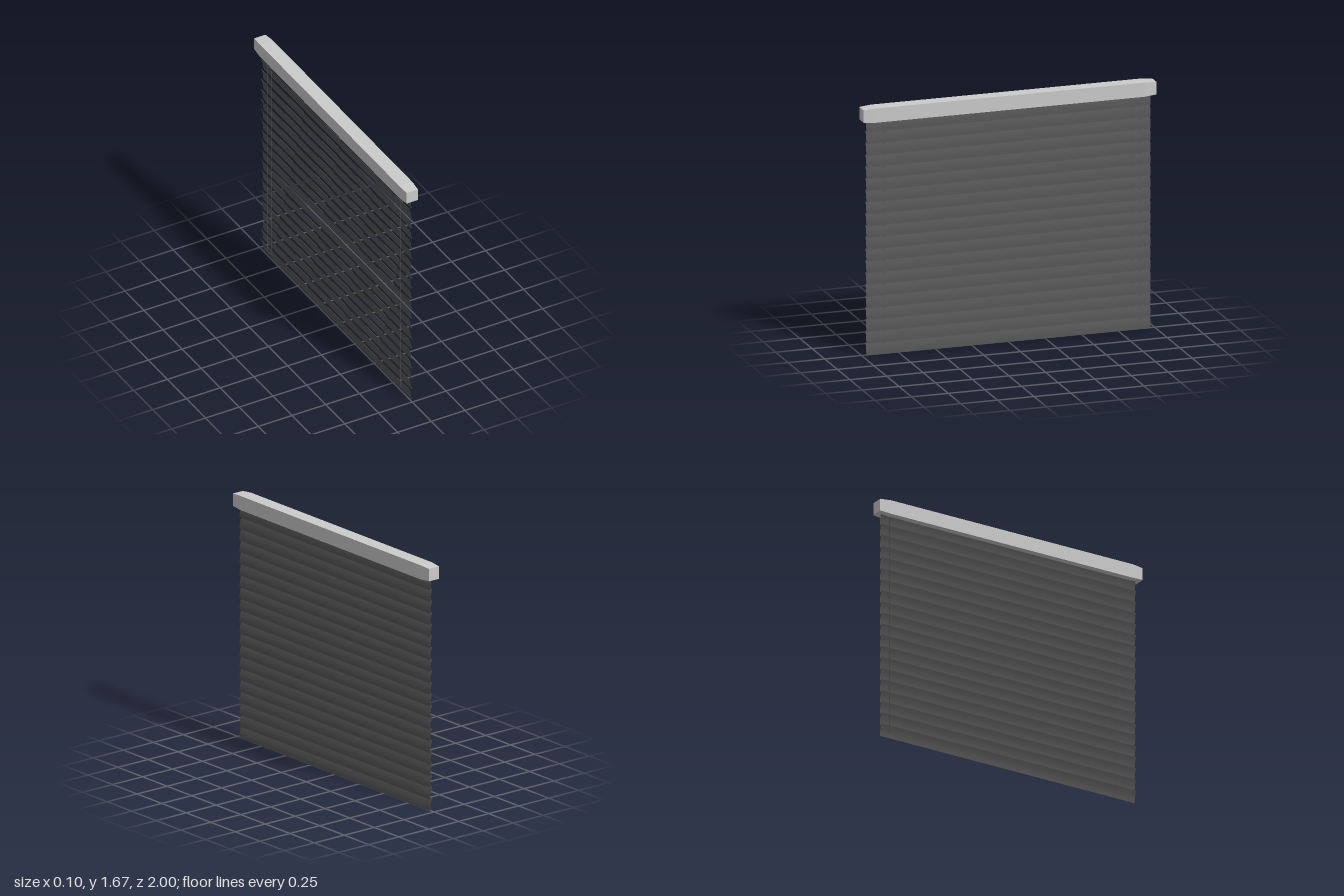
import * as THREE from 'three';

const SLATS = 20, PITCH = 0.079, SLAT_HEIGHT = 0.083, HALF_LENGTH = 0.97;

// Solid curved strip: profile leans from back (top) to front (bottom), bulging towards +x
function slatGeometry() {
  const steps = 8, thickness = 0.0012, front = [], back = [];
  for (let i = 0; i <= steps; i++) {
    const t = i / steps;
    const x = 0.011 - 0.018 * t + 0.004 * Math.sin(Math.PI * t);
    front.push(new THREE.Vector2(x, SLAT_HEIGHT * t));
    back.unshift(new THREE.Vector2(x - thickness, SLAT_HEIGHT * t));
  }
  const geometry = new THREE.ExtrudeGeometry(new THREE.Shape([...front, ...back]), {
    depth: 2 * HALF_LENGTH, bevelEnabled: false,
  });
  return geometry.translate(0, 0, -HALF_LENGTH);
}

// Long box whose two ends narrow slightly
function railGeometry() {
  const box = new THREE.BoxGeometry(0.096, 0.096, 2, 1, 1, 4);
  const p = box.attributes.position;
  for (let i = 0; i < p.count; i++) {
    const z = p.getZ(i);
    if (Math.abs(z) > 0.9) {
      p.setX(i, p.getX(i) * 0.87);
      p.setY(i, p.getY(i) * 0.87);
    } else {
      p.setZ(i, z * 1.84);
    }
  }
  const geometry = box.toNonIndexed();
  geometry.computeVertexNormals();
  return geometry;
}

export function createModel() {
  const model = new THREE.Group();
  model.name = 'windowBlind';
  const grey = new THREE.MeshStandardMaterial({ color: 0xcccccc });
  const dark = new THREE.MeshStandardMaterial({ color: 0x555555, side: THREE.DoubleSide });

  // Head rail
  const rail = new THREE.Mesh(railGeometry(), grey);
  rail.name = 'headRail';
  rail.position.y = 1.619;
  model.add(rail);

  // Slats
  const slats = new THREE.Group();
  slats.name = 'slats';
  const slat = slatGeometry();
  for (let i = 0; i < SLATS; i++) {
    const mesh = new THREE.Mesh(slat, dark);
    mesh.name = 'slat';
    mesh.position.y = i * PITCH;
    slats.add(mesh);
  }
  model.add(slats);

  // Lift cords, a pair near each end
  const cord = new THREE.CylinderGeometry(0.0015, 0.0015, 1.56, 6);
  for (const z of [-0.9, -0.85, 0.85, 0.9]) {
    const mesh = new THREE.Mesh(cord, dark);
    mesh.name = 'liftCord';
    mesh.position.set(-0.001, 0.81, z);
    model.add(mesh);
  }
  return model;
}
